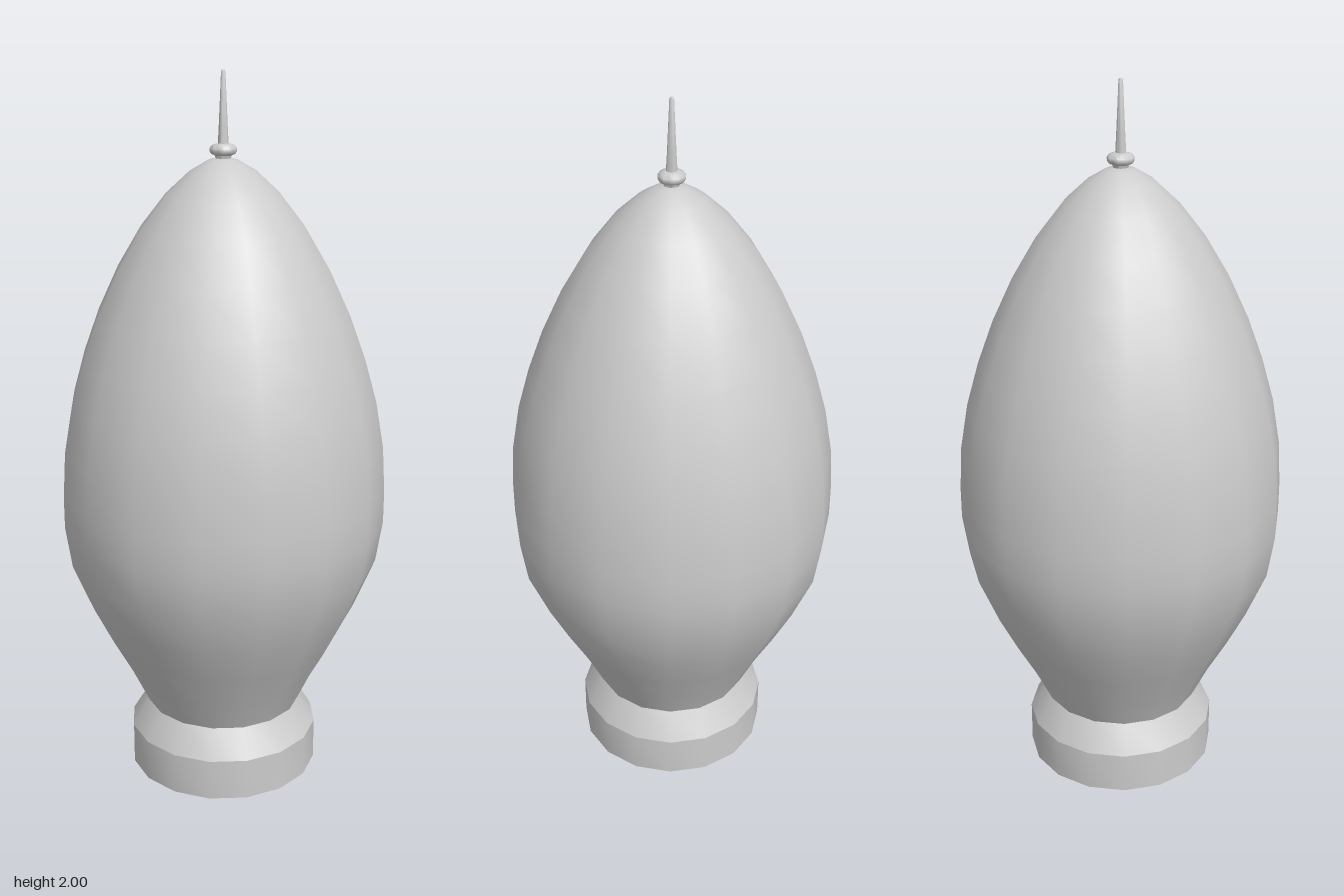
import * as THREE from 'three';
import { toCreasedNormals } from 'three/addons/utils/BufferGeometryUtils.js';

const material = new THREE.MeshStandardMaterial({ color: 0xcccccc });

// Turned part: profile of [radius, height], listed bottom to top on the outside
function turned(name, profile, sides, crease) {
  const points = profile.map(([r, y]) => new THREE.Vector2(r, y));
  const geometry = toCreasedNormals(new THREE.LatheGeometry(points, sides), crease);
  const mesh = new THREE.Mesh(geometry, material);
  mesh.name = name;
  return mesh;
}

export function createModel() {
  const model = new THREE.Group();
  model.name = 'rocket';

  // Bulbous hull, closed underneath
  model.add(turned('hull', [
    [0, 0.2], [0.225, 0.2], [0.272, 0.3], [0.326, 0.4], [0.38, 0.51], [0.437, 0.65],
    [0.455, 0.77], [0.455, 0.86], [0.447, 0.99], [0.424, 1.12], [0.39, 1.24],
    [0.346, 1.36], [0.29, 1.48], [0.225, 1.59], [0.155, 1.68], [0.09, 1.74],
    [0.04, 1.77], [0, 1.78],
  ], 16, 0.7));

  // Hollow skirt: inner wall, rim, outer wall, shoulder
  model.add(turned('engineSkirt', [
    [0.218, 0.198], [0.255, 0.12], [0.255, 0], [0.273, 0], [0.273, 0.12], [0.225, 0.2],
  ], 16, 0.45));

  // Round collar at the nose
  model.add(turned('noseCollar', [
    [0.018, 1.765], [0.022, 1.782], [0.032, 1.786], [0.036, 1.793], [0.036, 1.801],
    [0.031, 1.808], [0.016, 1.813], [0, 1.814],
  ], 32, 0.8));

  // Tapered antenna
  model.add(turned('antenna', [
    [0.015, 1.805], [0.012, 1.86], [0.006, 1.995], [0.004, 2], [0, 2],
  ], 12, 0.8));

  return model;
}
